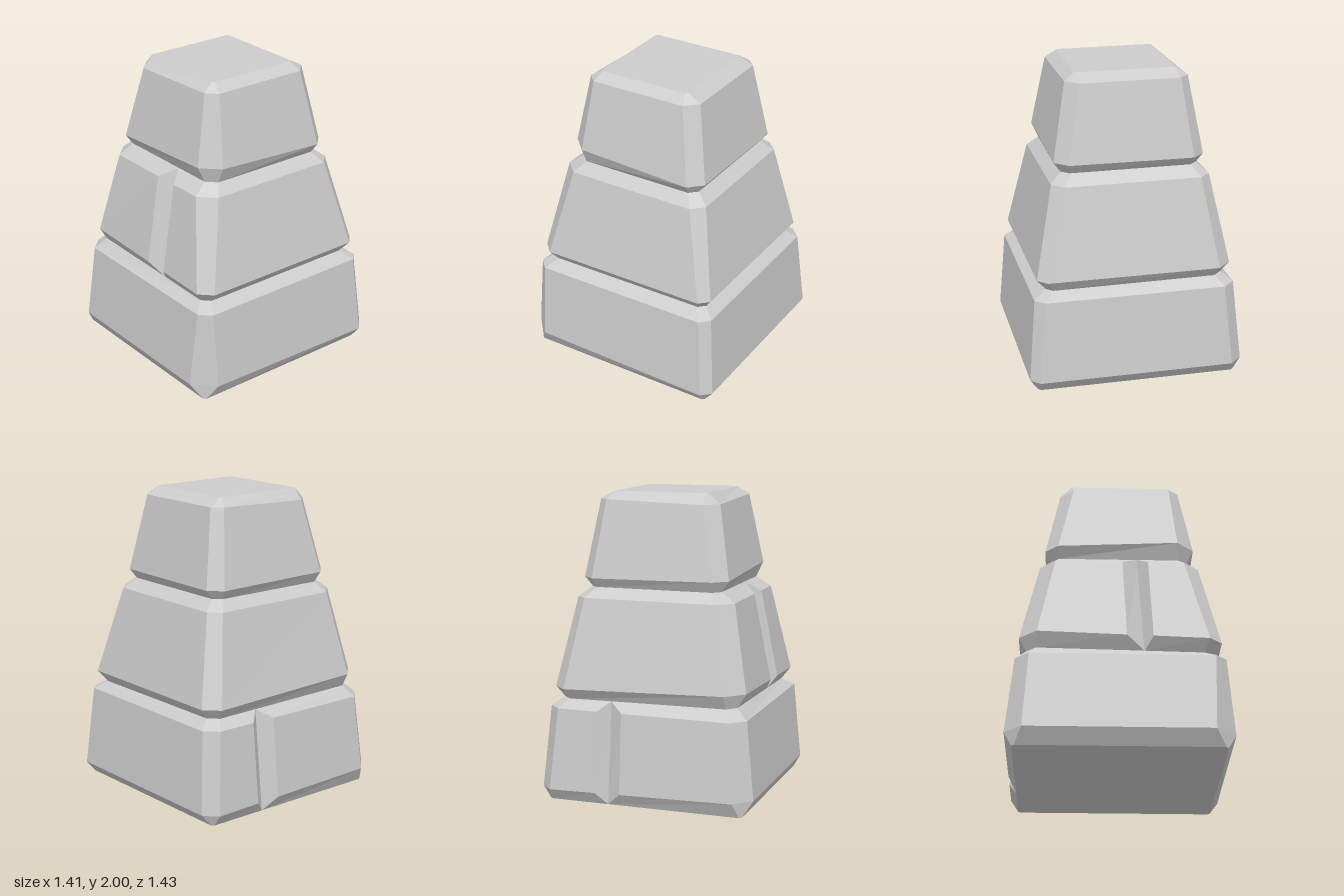
import * as THREE from 'three';

// A ring is a rectangle with its four corners cut off.
// x, z: [min, max]; y and cut: one value per corner, in the order
// front -x, front +x, back +x, back -x.
const ring = (y, x, z, cut) => ({ y: Array.isArray(y) ? y : [y, y, y, y], x, z, cut });

const BASE = ring(0, [-0.66, 0.65], [-0.66, 0.65], [0.015, 0.015, 0.015, 0.015]);
const WAIST_LOW = ring([0.675, 0.655, 0.66, 0.665], [-0.59, 0.575], [-0.6, 0.58], [0.06, 0.05, 0.04, 0.06]);
const WAIST_HIGH = ring(1.385, [-0.45, 0.44], [-0.45, 0.43], [0.05, 0.06, 0.05, 0.05]);
const SUMMIT = ring(2, [-0.33, 0.325], [-0.32, 0.315], [0.01, 0.015, 0.015, 0.01]);

// Each tier runs from rim to rim; a groove is a V cut across one side.
const TIERS = [
  {
    name: 'lowerTier',
    rings: [
      BASE,
      ring([0.1, 0.1, 0.075, 0.075], [-0.71, 0.705], [-0.72, 0.71], [0.11, 0.13, 0.06, 0.08]),
      ring([0.605, 0.605, 0.61, 0.61], [-0.66, 0.66], [-0.675, 0.655], [0.09, 0.07, 0.06, 0.08]),
      WAIST_LOW,
    ],
    groove: { side: 3, at: [-0.25, -0.24, -0.24, -0.25], half: 0.085 },
    capBottom: true,
  },
  {
    name: 'middleTier',
    rings: [
      WAIST_LOW,
      ring([0.765, 0.73, 0.735, 0.735], [-0.64, 0.638], [-0.655, 0.635], [0.115, 0.08, 0.06, 0.09]),
      ring(1.32, [-0.52, 0.512], [-0.53, 0.525], [0.1, 0.1, 0.075, 0.07]),
      WAIST_HIGH,
    ],
    groove: { side: 0, at: [0.15, 0.122, 0.097, 0.11], half: 0.083 },
  },
  {
    name: 'upperTier',
    rings: [
      WAIST_HIGH,
      ring([1.455, 1.49, 1.45, 1.445], [-0.49, 0.487], [-0.5, 0.48], [0.085, 0.11, 0.085, 0.08]),
      ring([1.93, 1.95, 1.95, 1.95], [-0.4, 0.395], [-0.41, 0.39], [0.09, 0.065, 0.08, 0.06]),
      SUMMIT,
    ],
    capTop: true,
  },
];

// Two points per corner, walked counter-clockwise as seen from above
function cornerPoints({ y, x: [x0, x1], z: [z0, z1], cut: c }) {
  return [
    [x0, y[0], z1 - c[0]], [x0 + c[0], y[0], z1],
    [x1 - c[1], y[1], z1], [x1, y[1], z1 - c[1]],
    [x1, y[2], z0 + c[2]], [x1 - c[2], y[2], z0],
    [x0 + c[3], y[3], z0], [x0, y[3], z0 + c[3]],
  ].map((p) => new THREE.Vector3(...p));
}

// Adds edge, valley and edge points to one side of every ring.
// At the rims the three meet in one point, so the groove runs out there.
function cutGroove(loops, { side, at, half }) {
  const start = side * 2 + 1;
  const axis = side % 2 ? 'z' : 'x';
  const onSide = (loop, value) => {
    const a = loop[start], b = loop[(start + 1) % 8];
    return a.clone().lerp(b, (value - a[axis]) / (b[axis] - a[axis]));
  };
  const last = loops.length - 1;
  const bottom = onSide(loops[0], at[0]);
  const top = onSide(loops[last], at[last]);
  return loops.map((loop, i) => {
    const h = i === 0 || i === last ? 0 : half;
    const middle = onSide(loop, at[i]);
    const valley = bottom.clone().lerp(top, (middle.y - bottom.y) / (top.y - bottom.y));
    const edges = [onSide(loop, at[i] - h), valley, onSide(loop, at[i] + h)];
    return [...loop.slice(0, start + 1), ...edges, ...loop.slice(start + 1)];
  });
}

function tierGeometry({ rings, groove, capBottom, capTop }) {
  let loops = rings.map(cornerPoints);
  if (groove) loops = cutGroove(loops, groove);
  const corners = [];
  const triangle = (a, b, c) => {
    if (new THREE.Triangle(a, b, c).getArea() > 1e-7) corners.push(a, b, c);
  };
  const n = loops[0].length;

  // Walls between neighbouring rings
  for (let i = 0; i < loops.length - 1; i++) {
    for (let j = 0; j < n; j++) {
      const k = (j + 1) % n;
      const [a, b, c, d] = [loops[i][j], loops[i][k], loops[i + 1][k], loops[i + 1][j]];
      triangle(a, b, c);
      triangle(a, c, d);
    }
  }

  // End faces
  const first = loops[0], end = loops[loops.length - 1];
  for (let j = 1; j < n - 1; j++) {
    if (capBottom) triangle(first[0], first[j + 1], first[j]);
    if (capTop) triangle(end[0], end[j], end[j + 1]);
  }

  const geometry = new THREE.BufferGeometry().setFromPoints(corners);
  geometry.computeVertexNormals();
  return geometry;
}

export function createModel() {
  const model = new THREE.Group();
  model.name = 'steppedStonePillar';
  const stone = new THREE.MeshStandardMaterial({ color: 0xcccccc, flatShading: true });
  for (const tier of TIERS) {
    const mesh = new THREE.Mesh(tierGeometry(tier), stone);
    mesh.name = tier.name;
    model.add(mesh);
  }
  return model;
}
